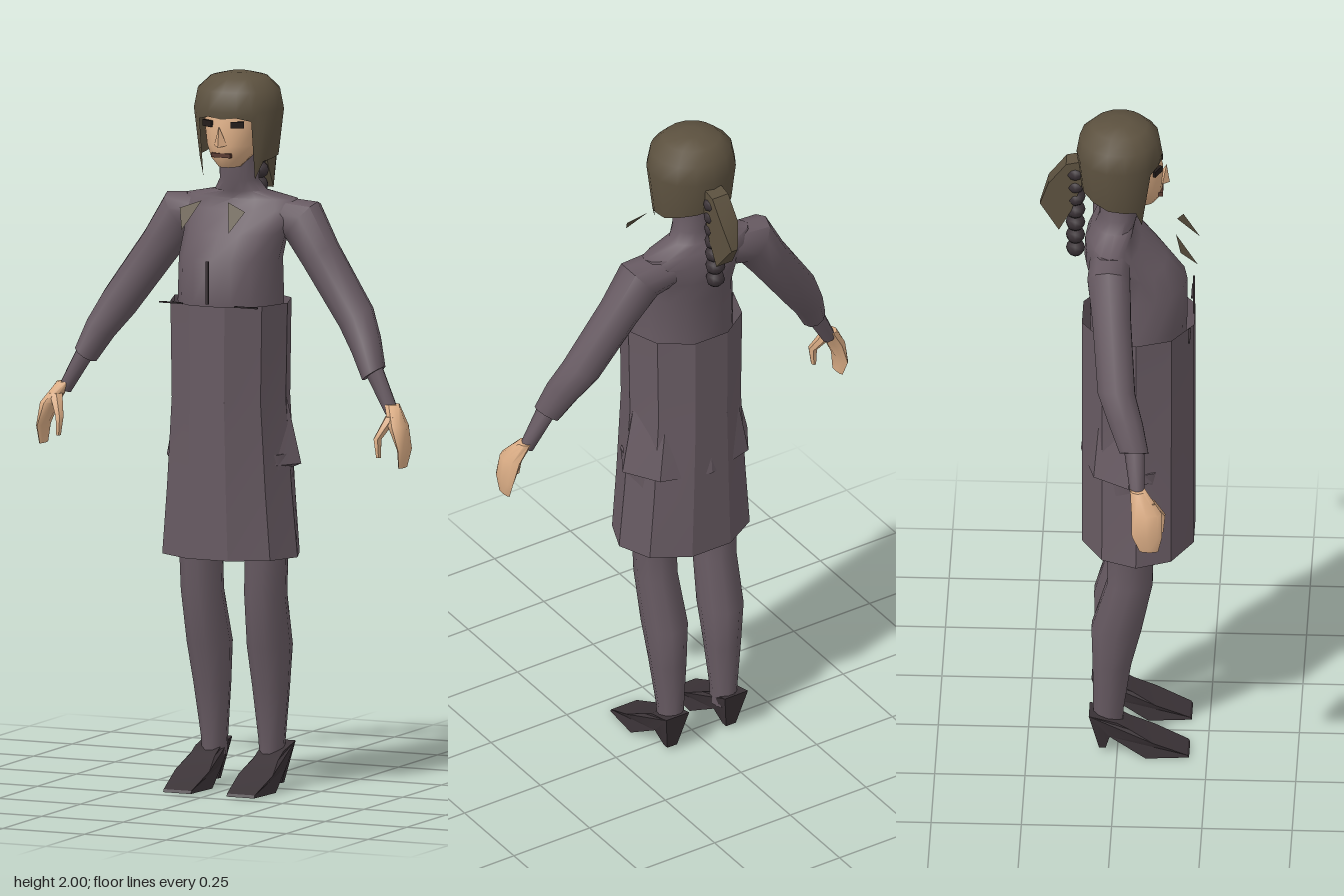
import * as THREE from 'three';
import { toCreasedNormals } from 'three/addons/utils/BufferGeometryUtils.js';

const mat = (name, color, side = THREE.FrontSide) => {
  const m = new THREE.MeshStandardMaterial({ color, side });
  m.name = name;
  return m;
};

// Ring of points: centre, half widths, and tilt in the xy plane
function ring(cx, cy, cz, a, b, tilt = 0, n = 12) {
  return Array.from({ length: n }, (_, i) => {
    const t = (i / n) * Math.PI * 2, u = Math.cos(t) * a;
    return [cx + u * Math.cos(tilt), cy + u * Math.sin(tilt), cz + Math.sin(t) * b];
  });
}

// Skin a list of rings given from bottom to top, with optional end caps
function loft(rings, { capBottom = true, capTop = true, crease = 0.9 } = {}) {
  const n = rings[0].length, pos = rings.flat(2), index = [];
  for (let r = 0; r < rings.length - 1; r++) {
    for (let j = 0; j < n; j++) {
      const a = r * n + j, b = r * n + ((j + 1) % n);
      index.push(a, a + n, b, b, a + n, b + n);
    }
  }
  const last = (rings.length - 1) * n;
  for (let j = 1; j < n - 1; j++) {
    if (capBottom) index.push(0, j, j + 1);
    if (capTop) index.push(last, last + j + 1, last + j);
  }
  const g = new THREE.BufferGeometry();
  g.setAttribute('position', new THREE.Float32BufferAttribute(pos, 3));
  g.setIndex(index);
  return toCreasedNormals(g, crease);
}

// Extrude a (z, y) side profile across x, with half width given by a rule
function sideExtrude(points, half) {
  const shape = new THREE.Shape(points.map(([z, y]) => new THREE.Vector2(z, y)));
  const g = new THREE.ExtrudeGeometry(shape, { depth: 1, bevelEnabled: false });
  g.translate(0, 0, -0.5).rotateY(-Math.PI / 2);
  const p = g.attributes.position;
  for (let i = 0; i < p.count; i++) p.setX(i, p.getX(i) * 2 * half(p.getZ(i), p.getY(i)));
  return toCreasedNormals(g, 0.5);
}

export function createModel() {
  const model = new THREE.Group();
  const cloth = mat('plum cloth', 0x675a62, THREE.DoubleSide);
  const hairMat = mat('brown hair', 0x5c513f, THREE.DoubleSide);
  const skin = mat('skin', 0xdcae86);
  const dark = mat('dark leather', 0x3b3337);
  const eyeMat = mat('dark eye', 0x241d1b);
  const lipMat = mat('lips', 0x5a3a30);

  const add = (name, geometry, material, parent = model) => {
    const m = new THREE.Mesh(geometry, material);
    m.name = name;
    parent.add(m);
    return m;
  };
  const rings = (list, n = 12) => list.map(([x, y, z, a, b, t = 0]) => ring(x, y, z, a, b, t, n));

  // Torso and high neck
  add('torso', loft(rings([
    [0, 1.0, 0.05, 0.15, 0.12], [0, 1.37, 0.055, 0.15, 0.135], [0, 1.49, 0.055, 0.146, 0.135],
    [0, 1.56, 0.02, 0.15, 0.115], [0, 1.62, -0.015, 0.18, 0.078], [0, 1.65, -0.02, 0.17, 0.06],
    [0, 1.67, -0.01, 0.075, 0.055], [0, 1.7, 0, 0.055, 0.053], [0, 1.78, 0, 0.055, 0.055],
  ], 16)), cloth);

  // Straight faceted outer skirt, open at both ends
  add('skirt', loft(rings([
    [0, 0.66, 0.055, 0.204, 0.163], [0, 0.85, 0.055, 0.186, 0.163],
    [0, 1.1, 0.055, 0.168, 0.163], [0, 1.37, 0.055, 0.173, 0.163],
  ], 10), { capBottom: false, capTop: false, crease: 0.35 }), cloth);

  // Flared jacket hem showing through the skirt sides
  add('jacketHem', loft(rings([
    [0, 0.9, 0.035, 0.16, 0.11], [0, 0.92, 0.035, 0.206, 0.14], [0, 1.12, 0.045, 0.162, 0.13],
  ], 8), { crease: 0.4 }), cloth);

  // Front fastening and pocket edges
  add('fastening', new THREE.BoxGeometry(0.008, 0.12, 0.006), dark).position.set(0, 1.435, 0.208);

  for (const s of [1, -1]) {
    const side = new THREE.Group();
    side.name = s > 0 ? 'leftSide' : 'rightSide';
    model.add(side);
    const mirrored = (list, n = 10) => rings(list.map(([x, y, z, a, b, t = 0]) => [s * x, y, z, a, b, s * t]), n);

    // Sleeve, wrist, hand and thumb
    add('sleeve', loft(mirrored([
      [0.44, 1.19, 0.06, 0.036, 0.042, 0.6], [0.405, 1.265, 0.035, 0.046, 0.05, 0.6],
      [0.362, 1.335, 0.008, 0.055, 0.054, 0.6], [0.245, 1.5, -0.01, 0.06, 0.056, 0.65],
      [0.186, 1.59, -0.02, 0.072, 0.062, 0.9], [0.1, 1.6, -0.02, 0.055, 0.058, 1.45],
    ])), cloth, side);
    add('wrist', loft(mirrored([
      [0.5, 1.09, 0.072, 0.02, 0.02, 0.55], [0.44, 1.2, 0.06, 0.027, 0.028, 0.55],
    ], 8)), cloth, side);
    add('hand', loft(mirrored([
      [0.55, 0.94, 0.105, 0.007, 0.026], [0.553, 0.99, 0.1, 0.012, 0.042],
      [0.533, 1.055, 0.098, 0.025, 0.042], [0.502, 1.11, 0.073, 0.022, 0.022],
    ], 8)), skin, side);
    add('thumb', loft(mirrored([
      [0.49, 0.968, 0.135, 0.007, 0.009], [0.487, 1.02, 0.135, 0.012, 0.015],
      [0.515, 1.08, 0.1, 0.02, 0.022],
    ], 6)), skin, side);

    // Leg
    add('leg', loft(mirrored([
      [0.088, 0.08, -0.025, 0.034, 0.042], [0.088, 0.13, -0.025, 0.036, 0.044],
      [0.09, 0.28, -0.015, 0.052, 0.056], [0.092, 0.4, -0.002, 0.062, 0.073],
      [0.097, 0.55, 0.035, 0.059, 0.066], [0.1, 0.66, 0.037, 0.06, 0.066],
      [0.1, 0.95, 0.05, 0.085, 0.09],
    ])), cloth, side);

    // High heeled shoe
    add('shoe', sideExtrude([
      [0.2, 0], [0.08, 0], [-0.02, 0.06], [-0.032, 0.01], [-0.05, 0.01],
      [-0.078, 0.125], [0, 0.105], [0.035, 0.085], [0.1, 0.05], [0.195, 0.008],
    ], (z, y) => (z > 0.05 ? 0.052 - Math.max(0, z - 0.1) * 0.1 : y < 0.03 ? 0.016 : 0.038)),
    dark, side).position.x = s * 0.097;

    // Loose collar point standing in front of the chest
    const collar = new THREE.BufferGeometry();
    collar.setAttribute('position', new THREE.Float32BufferAttribute([
      s * 0.04, 1.657, 0.16, s * 0.072, 1.58, 0.222, s * 0.1, 1.635, 0.175], 3));
    collar.setIndex(s > 0 ? [0, 1, 2] : [0, 2, 1]);
    collar.computeVertexNormals();
    add('collarPoint', collar, hairMat, side);

    add('pocketEdge', new THREE.BoxGeometry(0.07, 0.004, 0.006), dark, side).position.set(s * 0.115, 1.372, 0.2);

    // Eye
    const eye = add('eye', new THREE.BoxGeometry(0.038, 0.018, 0.008), eyeMat, side);
    eye.position.set(s * 0.045, 1.866, 0.109);
    eye.rotation.y = s * 0.5;
  }

  // Head, nose and mouth
  add('head', loft(rings([
    [0, 1.743, 0.06, 0.03, 0.04], [0, 1.77, 0.05, 0.055, 0.07], [0, 1.805, 0.03, 0.075, 0.093],
    [0, 1.86, 0.02, 0.086, 0.103], [0, 1.93, 0.005, 0.09, 0.1],
  ], 16)), skin);
  const nose = add('nose', toCreasedNormals(new THREE.ConeGeometry(0.02, 0.055, 4), 0.3), skin);
  nose.position.set(0, 1.835, 0.127);
  nose.rotation.x = 0.2;
  add('mouth', new THREE.BoxGeometry(0.058, 0.012, 0.012), lipMat).position.set(0, 1.78, 0.117);

  // Bobbed hair: fringe at the front, pointed locks at the cheeks
  const half = [[-90, 1.8], [-65, 1.795], [-40, 1.785], [-15, 1.77], [10, 1.765], [28, 1.76], [41, 1.71], [50, 1.875], [70, 1.885]];
  const edge = [...half, [90, 1.88], ...half.slice(1).reverse().map(([d, y]) => [180 - d, y])];
  const hairRing = (rx, rz, y) => edge.map(([d, low]) => {
    const t = (d * Math.PI) / 180, k = y ? 1 : 1 - (1.9 - low) * 0.9;
    return [Math.cos(t) * rx * k, y || low, Math.sin(t) * rz * k + 0.002];
  });
  add('hair', loft([
    hairRing(0.126, 0.119), hairRing(0.127, 0.119, 1.9), hairRing(0.116, 0.11, 1.955),
    hairRing(0.08, 0.078, 1.988), hairRing(0.03, 0.03, 2),
  ], { capBottom: false }), hairMat);

  // Ponytail and beaded braid
  add('ponytail', sideExtrude([
    [-0.09, 1.84], [-0.13, 1.72], [-0.165, 1.655], [-0.218, 1.73], [-0.195, 1.805], [-0.145, 1.87], [-0.1, 1.88],
  ], (z) => (z < -0.2 ? 0.01 : 0.026)), hairMat);
  for (let i = 0; i < 7; i++) {
    const bead = add('braidBead', new THREE.SphereGeometry(0.029, 8, 6), dark);
    bead.position.set(0, 1.835 - i * 0.042, -0.12);
    bead.scale.set(1.3 - i * 0.06, 0.9, 1 - i * 0.015);
  }
  return model;
}
